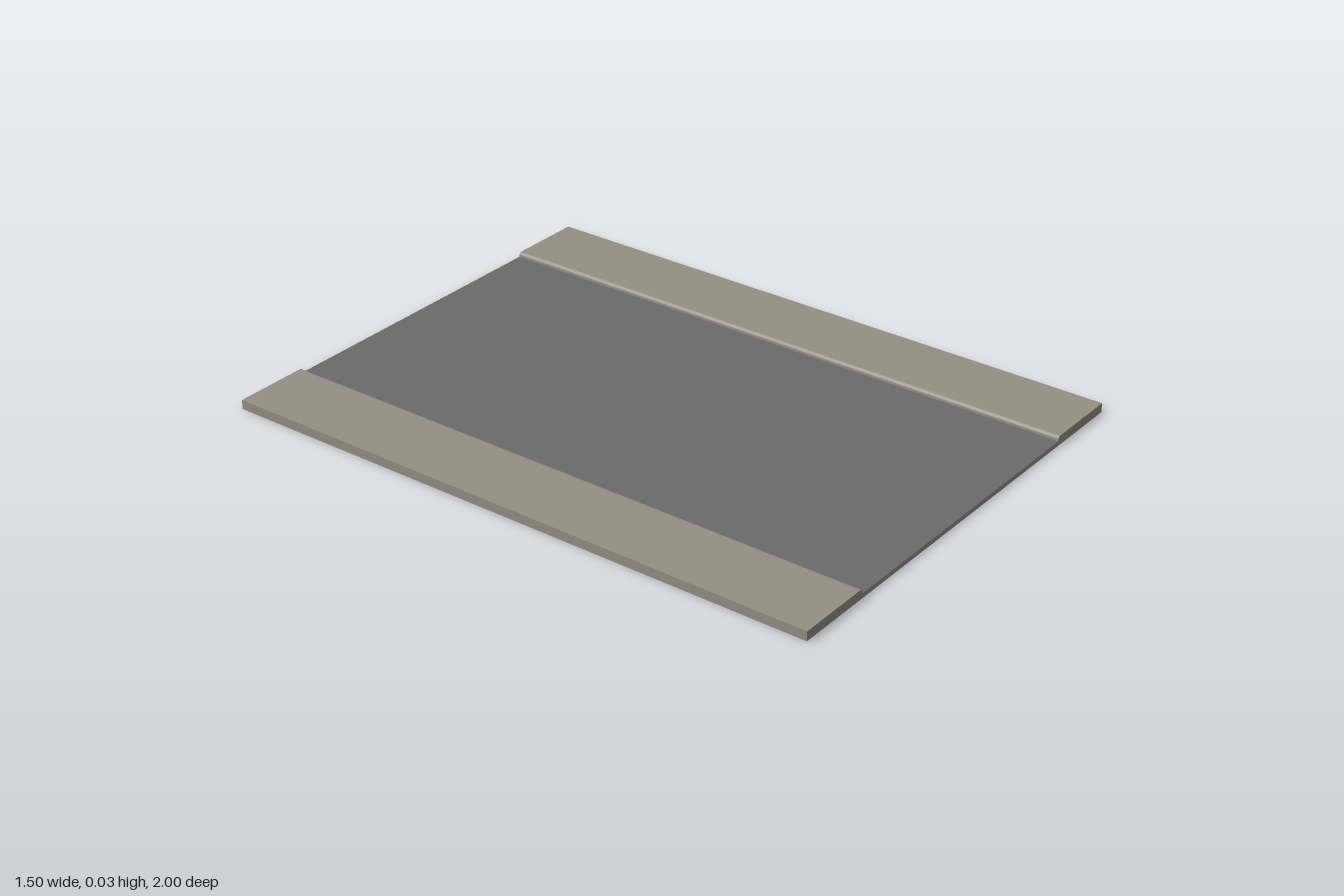
import * as THREE from 'three';

const LENGTH = 2, ROAD_HALF = 0.5, EDGE = 0.75;
const ROAD_H = 0.015, CURB_H = 0.03, ROUND = 0.012;

export function createModel() {
  const group = new THREE.Group();
  group.name = 'roadSection';

  const concrete = new THREE.MeshStandardMaterial({ color: 0x959083 });
  concrete.name = 'concrete';
  const asphalt = new THREE.MeshStandardMaterial({ color: 0x6b6b6b });
  asphalt.name = 'asphalt';

  // Roadway: concrete slab with an asphalt top face (box face order: +x -x +y -y +z -z)
  const road = new THREE.Mesh(
    new THREE.BoxGeometry(ROAD_HALF * 2, ROAD_H, LENGTH),
    [concrete, concrete, asphalt, concrete, concrete, concrete]
  );
  road.name = 'roadway';
  road.position.y = ROAD_H / 2;
  group.add(road);

  // Sidewalk cross-section with a rounded curb edge towards the road
  const profile = new THREE.Shape();
  profile.moveTo(ROAD_HALF, 0);
  profile.lineTo(EDGE, 0);
  profile.lineTo(EDGE, CURB_H);
  profile.lineTo(ROAD_HALF + ROUND, CURB_H);
  profile.quadraticCurveTo(ROAD_HALF, CURB_H, ROAD_HALF, CURB_H - ROUND);
  profile.closePath();

  const sidewalkGeometry = new THREE.ExtrudeGeometry(profile, {
    depth: LENGTH, bevelEnabled: false, curveSegments: 4
  });
  sidewalkGeometry.translate(0, 0, -LENGTH / 2);

  // The section is symmetric end to end, so a half turn gives the other side
  for (const [name, turn] of [['leftSidewalk', 0], ['rightSidewalk', Math.PI]]) {
    const sidewalk = new THREE.Mesh(sidewalkGeometry, concrete);
    sidewalk.name = name;
    sidewalk.rotation.y = turn;
    group.add(sidewalk);
  }

  return group;
}
